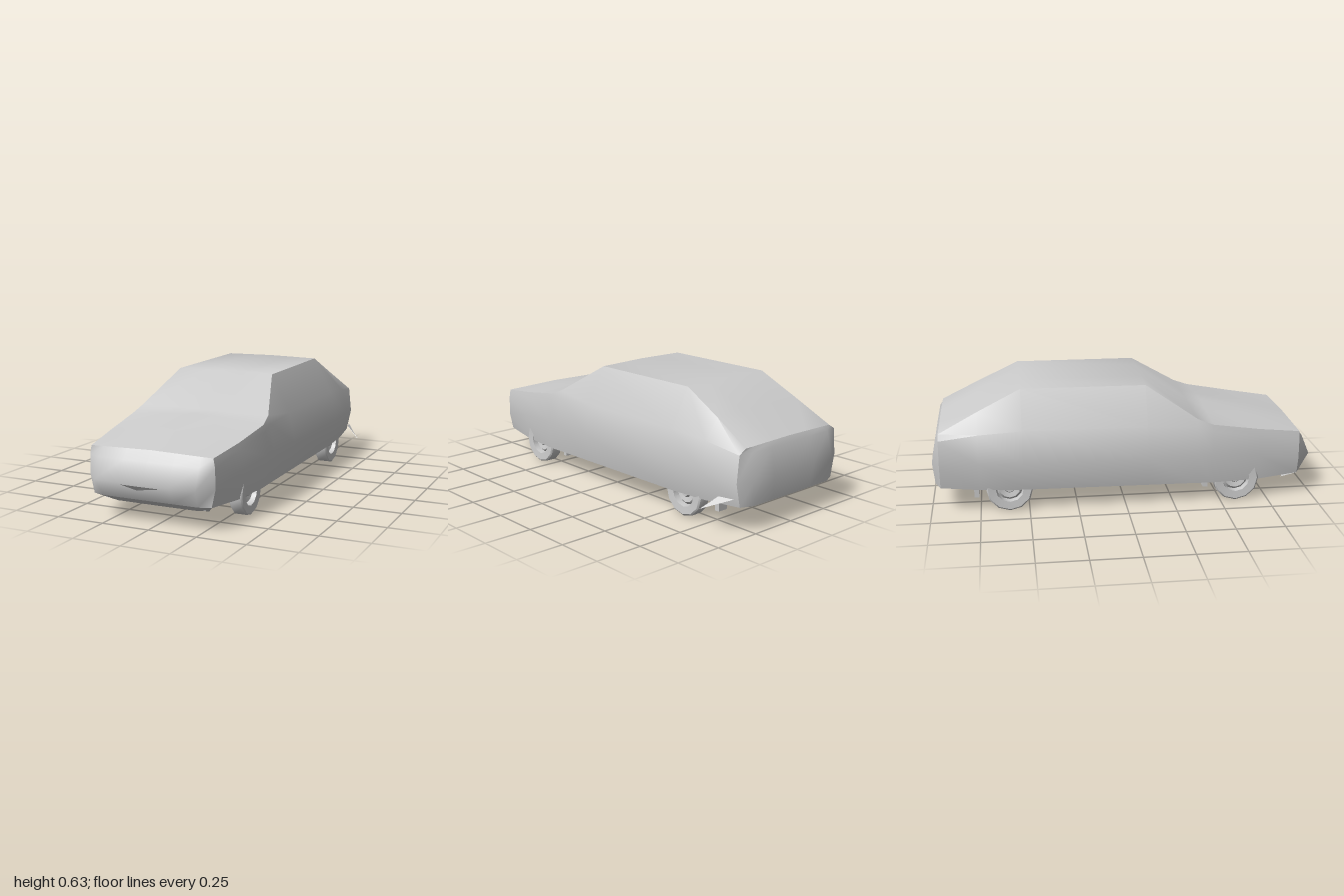
import * as THREE from 'three';
import { toCreasedNormals } from 'three/addons/utils/BufferGeometryUtils.js';

const CX = -0.025; // the shell sits slightly off centre
const grey = new THREE.MeshStandardMaterial({ color: 0xcccccc, side: THREE.DoubleSide });

// Surface through rows of points, with sharp edges kept
function gridSurface(rows, crease) {
  const n = rows[0].length, index = [];
  for (let i = 0; i < rows.length - 1; i++) {
    for (let j = 0; j < n - 1; j++) {
      const a = i * n + j, b = a + n;
      index.push(a, b, a + 1, b, b + 1, a + 1);
    }
  }
  const g = new THREE.BufferGeometry();
  g.setAttribute('position', new THREE.Float32BufferAttribute(rows.flat(2), 3));
  g.setIndex(index);
  return toCreasedNormals(g, crease);
}

// Body sections: z, centre height, then half-width and height of top edge, belt, flank, sill
const SECTIONS = [
  [0.92, 0.362, 0.325, 0.355, 0.333, 0.31, 0.335, 0.21, 0.315, 0.12],
  [0.70, 0.408, 0.352, 0.385, 0.36, 0.35, 0.372, 0.25, 0.355, 0.11],
  [0.45, 0.45, 0.37, 0.425, 0.376, 0.39, 0.393, 0.27, 0.368, 0.105],
  [0.37, 0.46, 0.36, 0.455, 0.375, 0.415, 0.396, 0.27, 0.37, 0.108],
  [0.11, 0.625, 0.27, 0.62, 0.371, 0.425, 0.402, 0.27, 0.37, 0.11],
  [-0.53, 0.626, 0.268, 0.622, 0.37, 0.43, 0.41, 0.27, 0.37, 0.115],
  [-0.75, 0.519, 0.285, 0.514, 0.362, 0.415, 0.393, 0.27, 0.36, 0.12],
  [-0.95, 0.415, 0.305, 0.41, 0.345, 0.385, 0.36, 0.25, 0.335, 0.13],
];

function section([z, yc, ...p]) {
  const half = [[p[6] - 0.02, p[7]]];
  for (const k of [6, 4, 2, 0]) half.push([p[k], p[k + 1]]);
  half.push([p[0] * 0.4, yc * 0.6 + p[1] * 0.4]);
  return [
    ...half.map(([x, y]) => [CX + x, y, z]),
    [CX, yc, z],
    ...half.reverse().map(([x, y]) => [CX - x, y, z]),
  ];
}

// Bulging end panel: bulge holds the outward reach at each height of the end section
function panelRows([z, yc, ...p], dir, bulge) {
  return [0, 2, 4, 6].map((k, i) =>
    [-1, -0.8, -0.4, 0, 0.4, 0.8, 1].map((t) => {
      const out = Math.abs(t) === 1 ? 0 : bulge[i] * (1 - 0.12 * t * t);
      const y = k === 0 ? p[1] + (yc - p[1]) * (1 - Math.abs(t)) : p[k + 1];
      return [CX + dir * t * p[k], y, z + dir * out];
    }));
}

export function createModel() {
  const car = new THREE.Group();
  car.name = 'car';
  const add = (name, geometry, x = 0, y = 0, z = 0, parent = car) => {
    const m = new THREE.Mesh(geometry, grey);
    m.name = name;
    m.position.set(x, y, z);
    parent.add(m);
    return m;
  };
  const box = (name, w, h, d, x, y, z) => add(name, new THREE.BoxGeometry(w, h, d), x, y, z);
  const rod = (name, r, from, to) => add(name, new THREE.TubeGeometry(
    new THREE.LineCurve3(new THREE.Vector3(...from), new THREE.Vector3(...to)), 1, r, 8));

  // Outer shell, end panels and the valances turning back beneath them
  add('bodyShell', gridSurface(SECTIONS.map(section), 0.75));
  for (const [end, s, dir, bulge, lip, crease] of [
    ['front', SECTIONS[0], 1, [0, 0.035, 0.08, 0.02], 0.08, 1.3],
    ['rear', SECTIONS[SECTIONS.length - 1], -1, [0, 0.015, 0.042, 0.03], 0.118, 1],
  ]) {
    const rows = panelRows(s, dir, bulge);
    add(end + 'Panel', gridSurface(rows, crease));
    const under = rows[3].map(([x, y, z]) => [CX + (x - CX) * 0.85, lip, z - dir * 0.07]);
    add(end + 'Valance', gridSurface([rows[3], under], 0.6));
  }
  // Wedge-shaped intake under the front bumper edge
  add('frontIntake', gridSurface([
    [[-0.25, 0.198, 0.985], [-0.04, 0.202, 1], [0.16, 0.198, 0.985]],
    [[-0.085, 0.162, 0.965], [-0.08, 0.162, 0.965], [-0.075, 0.162, 0.965]],
  ], 0.3));
  // Loose pointed trim at the left rear corner
  add('rearCornerTrim', gridSurface([
    [[0.33, 0.17, -0.93], [0.35, 0.17, -0.85]],
    [[0.425, 0.112, -0.8], [0.43, 0.112, -0.8]],
  ], 0.3));

  // Underbody
  box('floorPan', 0.7, 0.01, 0.85, CX, 0.145, -0.02);
  box('rearFloor', 0.5, 0.01, 0.5, CX, 0.17, -0.69);
  box('rearSkirtFloor', 0.66, 0.01, 0.2, CX, 0.15, -0.85);
  box('centreTunnel', 0.09, 0.02, 0.5, CX, 0.137, 0.12);
  box('fuelTank', 0.36, 0.03, 0.18, CX, 0.148, -0.8);
  for (const z of [0.3, -0.42]) box('crossMember', 0.66, 0.02, 0.05, CX, 0.13, z);
  box('engineBlock', 0.22, 0.14, 0.3, CX, 0.23, 0.62);
  box('oilPan', 0.16, 0.06, 0.22, CX, 0.14, 0.6);
  box('frontSubframe', 0.56, 0.03, 0.06, CX, 0.125, 0.56);
  box('frontUndertray', 0.54, 0.01, 0.12, CX, 0.1, 0.83);
  rod('exhaustPipe', 0.01, [0.06, 0.13, 0.5], [0.08, 0.13, -0.9]);
  rod('rearAxle', 0.018, [-0.35, 0.122, -0.6], [0.3, 0.122, -0.6]);
  for (const s of [-1, 1]) {
    box('sillRail', 0.03, 0.03, 0.9, CX + s * 0.335, 0.127, -0.03);
    box('floorRail', 0.05, 0.02, 0.5, CX + s * 0.19, 0.135, 0.08);
    box('frontRail', 0.05, 0.05, 0.5, CX + s * 0.21, 0.15, 0.63);
    box('trailingArm', 0.04, 0.03, 0.25, CX + s * 0.24, 0.14, -0.53);
    rod('controlArm', 0.014, [CX + s * 0.16, 0.13, 0.5], [CX + s * 0.31, 0.115, 0.58]);
  }

  // Wheels and mud flaps
  const lathe = (profile) => toCreasedNormals(new THREE.LatheGeometry(
    profile.map(([r, y]) => new THREE.Vector2(r, y)), 12).rotateZ(-Math.PI / 2), 0.6);
  const tyre = lathe([[0.072, -0.032], [0.112, -0.035], [0.12, -0.028], [0.12, 0.028],
    [0.112, 0.035], [0.072, 0.032], [0.066, -0.02], [0.072, -0.032]]);
  const rim = lathe([[0, -0.02], [0.07, -0.02], [0.07, 0], [0.055, 0.014],
    [0.03, 0.008], [0.022, 0.022], [0, 0.022]]);
  for (const [end, z, flapZ] of [['front', 0.58, 0.43], ['rear', -0.6, -0.77]]) {
    for (const s of [-1, 1]) {
      const wheel = new THREE.Group();
      wheel.name = end + 'Wheel';
      wheel.position.set(CX + s * 0.33, 0.12, z);
      if (s < 0) wheel.rotation.y = Math.PI;
      add('tyre', tyre, 0, 0, 0, wheel);
      add('rim', rim, 0, 0, 0, wheel);
      car.add(wheel);
      box(end + 'MudFlap', 0.055, 0.08, 0.025, CX + s * 0.272, 0.095, flapZ);
    }
  }
  return car;
}
